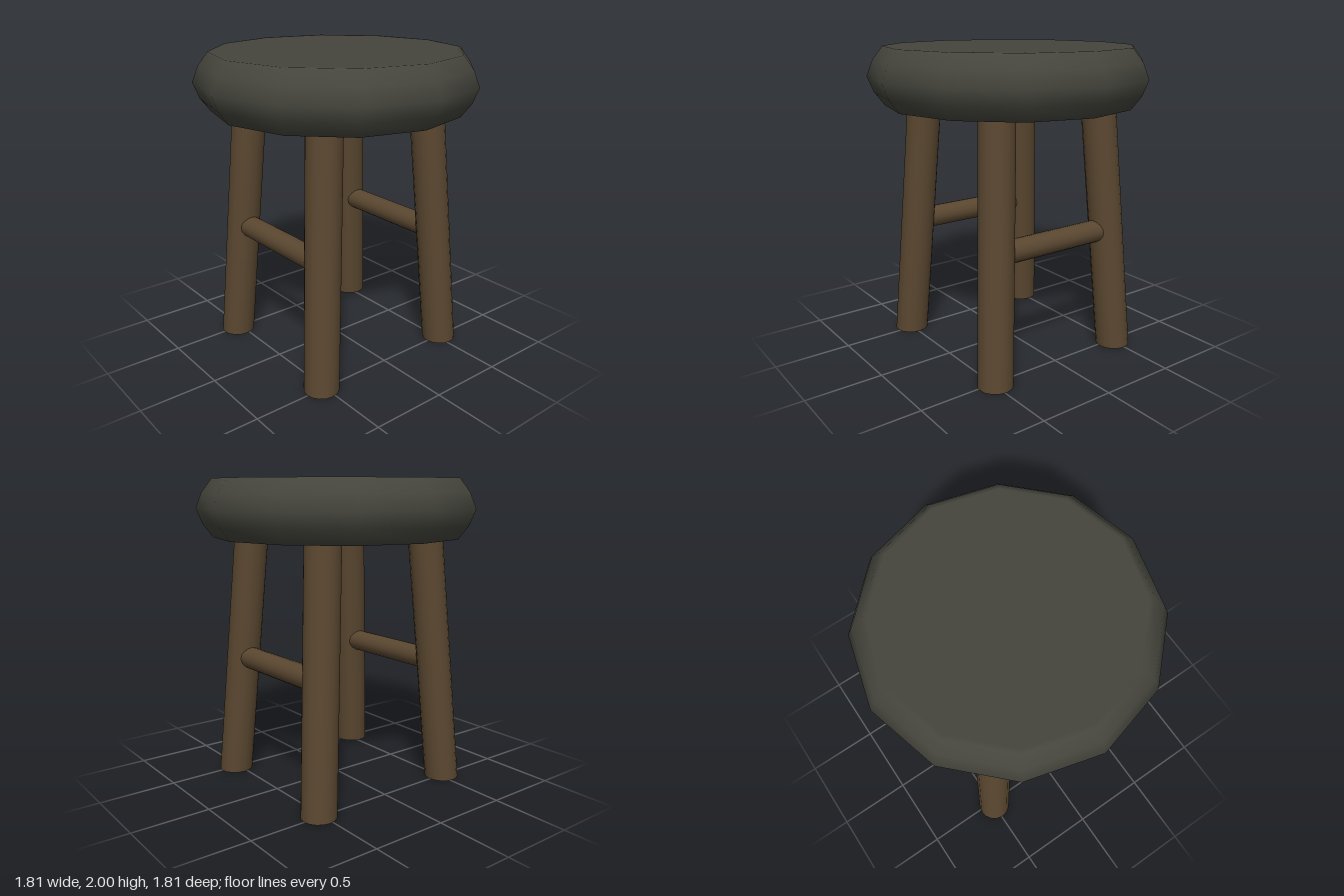
import * as THREE from 'three';

export function createModel() {
  const group = new THREE.Group();
  group.name = 'stool';
  const cushion = new THREE.MeshStandardMaterial({ name: 'charcoal', color: 0x45453d });
  const wood = new THREE.MeshStandardMaterial({ name: 'dark wood', color: 0x5a4730 });

  const add = (name, geometry, material) => {
    const mesh = new THREE.Mesh(geometry, material);
    mesh.name = name;
    group.add(mesh);
    return mesh;
  };

  // Twelve-sided padded seat with a rounded rim
  const profile = [
    [0, 1.63], [0.77, 1.63], [0.8, 1.63], [0.865, 1.715], [0.905, 1.815],
    [0.865, 1.915], [0.8, 2], [0.77, 2], [0, 2],
  ].map(([r, y]) => new THREE.Vector2(r, y));
  add('seat', new THREE.LatheGeometry(profile, 12), cushion);

  // Splayed legs: upright cylinders sheared so their feet stay level
  const height = 1.68;
  const lean = { x: 0.06, z: 0.067 };
  for (const sx of [1, -1]) {
    for (const sz of [1, -1]) {
      const leg = new THREE.CylinderGeometry(0.1125, 0.1125, height, 16);
      leg.translate(0, height / 2, 0);
      leg.applyMatrix4(new THREE.Matrix4().set(
        1, -sx * lean.x, 0, sx * 0.494,
        0, 1, 0, 0,
        0, -sz * lean.z, 1, sz * 0.522,
        0, 0, 0, 1,
      ));
      add(`${sz > 0 ? 'front' : 'back'}${sx > 0 ? 'Left' : 'Right'}Leg`, leg, wood);
    }
  }

  // Cross rungs joining the front pair and the back pair of legs
  for (const sz of [1, -1]) {
    const rung = new THREE.CylinderGeometry(0.073, 0.073, 0.88, 16);
    rung.rotateZ(Math.PI / 2);
    add(sz > 0 ? 'frontRung' : 'backRung', rung, wood).position.set(0, 0.815, sz * 0.467);
  }

  return group;
}
